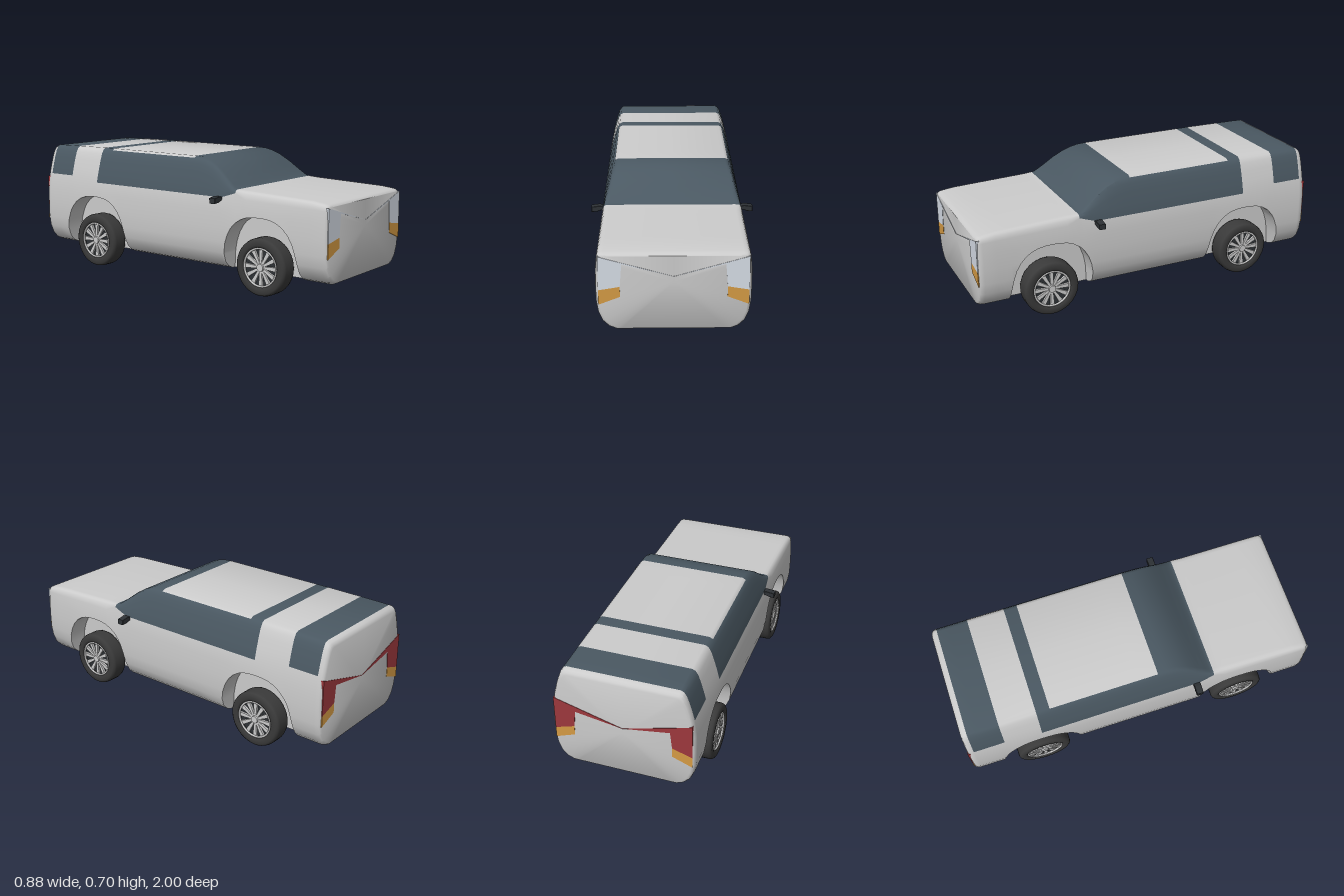
import * as THREE from 'three';
import { toCreasedNormals } from 'three/addons/utils/BufferGeometryUtils.js';

const mat = (color, side = THREE.FrontSide) => new THREE.MeshStandardMaterial({ color, side });
const paint = mat(0xcccccc), glass = mat(0x4a5862), rubber = mat(0x3a3a3a), dark = mat(0x2e3236);
const red = mat(0x9c383c), amber = mat(0xd49a44), lamp = mat(0xd6dde6);

// Piecewise linear lookup in ascending [key, value] pairs
function lookup(table, t) {
  if (t <= table[0][0]) return table[0][1];
  for (let i = 1; i < table.length; i++) {
    const [a, va] = table[i - 1], [b, vb] = table[i];
    if (t <= b) return va + (vb - va) * (t - a) / (b - a);
  }
  return table[table.length - 1][1];
}

// Half width by height, roof and bonnet height by z, window line by z
const WIDTH = [[0.105, 0.29], [0.12, 0.325], [0.15, 0.355], [0.2, 0.376], [0.26, 0.385], [0.38, 0.387],
  [0.45, 0.384], [0.5, 0.378], [0.55, 0.366], [0.6, 0.353], [0.65, 0.341], [0.7, 0.328]];
const TOP = [[-1, 0.685], [-0.96, 0.695], [-0.58, 0.7], [0.11, 0.7], [0.16, 0.697], [0.2, 0.688], [0.25, 0.668],
  [0.3, 0.637], [0.36, 0.59], [0.41, 0.553], [0.43, 0.548], [0.9, 0.532], [1, 0.52]];
const BELT = [[-0.79, 0.525], [-0.58, 0.5], [0.34, 0.5], [0.43, 0.53], [0.5, 0.5], [1, 0.49]];
const FLOOR = 0.105, WELL_X = 0.27, ARCH_Z = [0.59, -0.595], ARCH_R = 0.235;

// Height of the side panel's lower edge, raised over each wheel
function sideBottom(z) {
  let y = FLOOR;
  for (const c of ARCH_Z) {
    const u = Math.abs(z - c) / ARCH_R;
    if (u < 1) y = FLOOR + 0.31 * Math.pow(1 - Math.pow(u, 2.6), 1 / 2.6);
  }
  return y;
}

// Closed body section at z, from the bottom centre up the left side and back down the right
const INSETS = [[0, 0], [0.3, 0], [0.6, 0.002], [0.82, 0.006], [0.95, 0.014], [1, 0.03]];
function section(z) {
  const low = sideBottom(z), top = lookup(TOP, z), belt = lookup(BELT, z);
  const half = [[0, FLOOR], [WELL_X, FLOOR], [WELL_X, low]];
  for (const y0 of [0.105, 0.12, 0.15, 0.2, 0.26, 0.34, 0.43]) {
    const y = Math.max(y0, low);
    half.push([lookup(WIDTH, y), y]);
  }
  for (const [f, inset] of INSETS) {
    const y = belt + (top - belt) * f;
    half.push([lookup(WIDTH, y) - inset, y]);
  }
  half.push([0, top]);
  const e = Math.max(0, (Math.abs(z) - 0.97) / 0.03), s = 1 - Math.sqrt(Math.max(0, 1 - e * e));
  const pts = half.map(([x, y]) => new THREE.Vector3(x * (1 - 0.05 * s), 0.33 + (y - 0.33) * (1 - 0.06 * s), z));
  const mirrored = pts.slice(1, -1).reverse().map(p => new THREE.Vector3(-p.x, p.y, p.z));
  return pts.concat(mirrored);
}

function isGlass(h, z) {
  if (h < 10) return false;
  if (z > -0.965 && z < -0.79) return true;
  if (z < -0.58 || z > 0.43) return false;
  return !(h >= 14 && z > -0.505 && z < 0.11); // painted roof panel
}

// Body shell lofted along z, split into painted and glazed faces
function buildBody(group) {
  const zs = [-1, -0.995, -0.985, -0.97, -0.965, -0.9, -0.79, -0.58, -0.505, -0.2, 0, 0.11, 0.16, 0.2, 0.25,
    0.3, 0.34, 0.36, 0.41, 0.43, 0.5, 0.9, 0.97, 0.985, 0.995, 1];
  for (const c of ARCH_Z) for (let i = 0; i <= 18; i++) zs.push(c + ARCH_R * Math.cos(Math.PI * i / 18));
  zs.sort((a, b) => a - b);
  const stations = zs.filter((z, i) => i === 0 || z - zs[i - 1] > 1e-5);
  const rings = stations.map(section), n = rings[0].length;
  const painted = [], glazed = [];
  const tri = (out, a, b, c) => {
    const area = b.clone().sub(a).cross(c.clone().sub(a)).length();
    if (area > 1e-9) for (const p of [a, b, c]) out.push(p.x, p.y, p.z);
  };
  for (let i = 0; i < rings.length - 1; i++) {
    const zMid = (stations[i] + stations[i + 1]) / 2;
    for (let k = 0; k < n; k++) {
      const j = (k + 1) % n, out = isGlass(Math.min(k, n - 1 - k), zMid) ? glazed : painted;
      tri(out, rings[i][k], rings[i][j], rings[i + 1][j]);
      tri(out, rings[i][k], rings[i + 1][j], rings[i + 1][k]);
    }
  }
  // Flat nose and tail
  const first = rings[0], last = rings[rings.length - 1];
  for (let k = 0; k < n; k++) {
    const j = (k + 1) % n;
    tri(painted, new THREE.Vector3(0, 0.37, 1), last[k], last[j]);
    tri(painted, new THREE.Vector3(0, 0.37, -1), first[j], first[k]);
  }
  let geo = new THREE.BufferGeometry();
  geo.setAttribute('position', new THREE.Float32BufferAttribute(painted.concat(glazed), 3));
  geo = toCreasedNormals(geo, 0.6);
  const part = (name, from, to, material) => {
    const g = new THREE.BufferGeometry();
    for (const key of ['position', 'normal'])
      g.setAttribute(key, new THREE.Float32BufferAttribute(geo.attributes[key].array.slice(from, to), 3));
    const mesh = new THREE.Mesh(g, material);
    mesh.name = name;
    group.add(mesh);
  };
  part('bodyShell', 0, painted.length, paint);
  part('windows', painted.length, painted.length + glazed.length, glass);
}

// Mirrored pair of lights with a thin blade running to the middle
function buildLights(name, mainMaterial, bladeY, splitY) {
  const g = new THREE.Group();
  g.name = name;
  const main = [[0.372, 0.507], [0, 0.4], [0.255, bladeY], [0.265, 0.345], [0.372, splitY]];
  const signal = [[0.372, splitY], [0.265, 0.345], [0.265, 0.29], [0.372, 0.248]];
  for (const s of [1, -1]) for (const [label, pts, m] of [['lightLens', main, mainMaterial], ['turnSignal', signal, amber]]) {
    const shape = new THREE.Shape(pts.map(([x, y]) => new THREE.Vector2(x * s, y)));
    const mesh = new THREE.Mesh(new THREE.ExtrudeGeometry(shape, { depth: 0.017, bevelEnabled: false }), m);
    mesh.position.z = 0.985;
    mesh.name = label;
    g.add(mesh);
  }
  return g;
}

// Wheel with its axle on y and its outer face at +y
function buildWheel() {
  const g = new THREE.Group();
  const add = (name, geo, m, y = 0) => {
    const mesh = new THREE.Mesh(geo, m);
    mesh.name = name;
    mesh.position.y = y;
    g.add(mesh);
    return mesh;
  };
  const profile = [[0.104, -0.046], [0.118, -0.053], [0.14, -0.052], [0.151, -0.044], [0.155, -0.03], [0.155, 0.03],
    [0.151, 0.044], [0.14, 0.052], [0.118, 0.053], [0.104, 0.046], [0.102, 0], [0.104, -0.046]];
  add('tyre', new THREE.LatheGeometry(profile.map(p => new THREE.Vector2(...p)), 40), rubber);
  add('rimBack', new THREE.CylinderGeometry(0.104, 0.104, 0.07, 40), dark, -0.005);
  const ring = add('rimRing', new THREE.TorusGeometry(0.101, 0.006, 8, 40), paint, 0.044);
  ring.rotation.x = Math.PI / 2;
  add('hub', new THREE.CylinderGeometry(0.02, 0.024, 0.02, 20), paint, 0.04);
  // Spokes widen towards the rim
  const spoke = new THREE.Shape([[0.015, -0.006], [0.1, -0.012], [0.1, 0.012], [0.015, 0.006]].map(p => new THREE.Vector2(...p)));
  const spokeGeo = new THREE.ExtrudeGeometry(spoke, { depth: 0.014, bevelEnabled: false }).rotateX(-Math.PI / 2);
  for (let i = 0; i < 12; i++) add('spoke', spokeGeo, paint, 0.028).rotation.y = i * Math.PI / 6;
  return g;
}

export function createModel() {
  const car = new THREE.Group();
  car.name = 'car';
  buildBody(car);

  car.add(buildLights('headlights', lamp, 0.466, 0.327));
  const tail = buildLights('tailLights', red, 0.442, 0.31);
  tail.rotation.y = Math.PI;
  car.add(tail);

  for (const s of [1, -1]) {
    for (const [i, z] of [0.6, -0.59].entries()) {
      const wheel = buildWheel();
      wheel.name = (i ? 'rear' : 'front') + (s > 0 ? 'Left' : 'Right') + 'Wheel';
      wheel.rotation.z = -s * Math.PI / 2;
      wheel.position.set(s * 0.337, 0.155, z);
      car.add(wheel);
    }
    // Door mirror: a wedge that thickens outwards on a thin stalk
    const outline = [[0.37, 0.487], [0.395, 0.482], [0.41, 0.476], [0.438, 0.474], [0.438, 0.5], [0.415, 0.503], [0.395, 0.506], [0.37, 0.5]];
    const shape = new THREE.Shape(outline.map(([x, y]) => new THREE.Vector2(s * x, y)));
    const mirror = new THREE.Mesh(new THREE.ExtrudeGeometry(shape, { depth: 0.03, bevelEnabled: true, bevelSize: 0.002, bevelThickness: 0.004, bevelSegments: 2 }), dark);
    mirror.position.z = 0.312;
    mirror.name = s > 0 ? 'leftMirror' : 'rightMirror';
    car.add(mirror);
  }
  return car;
}
